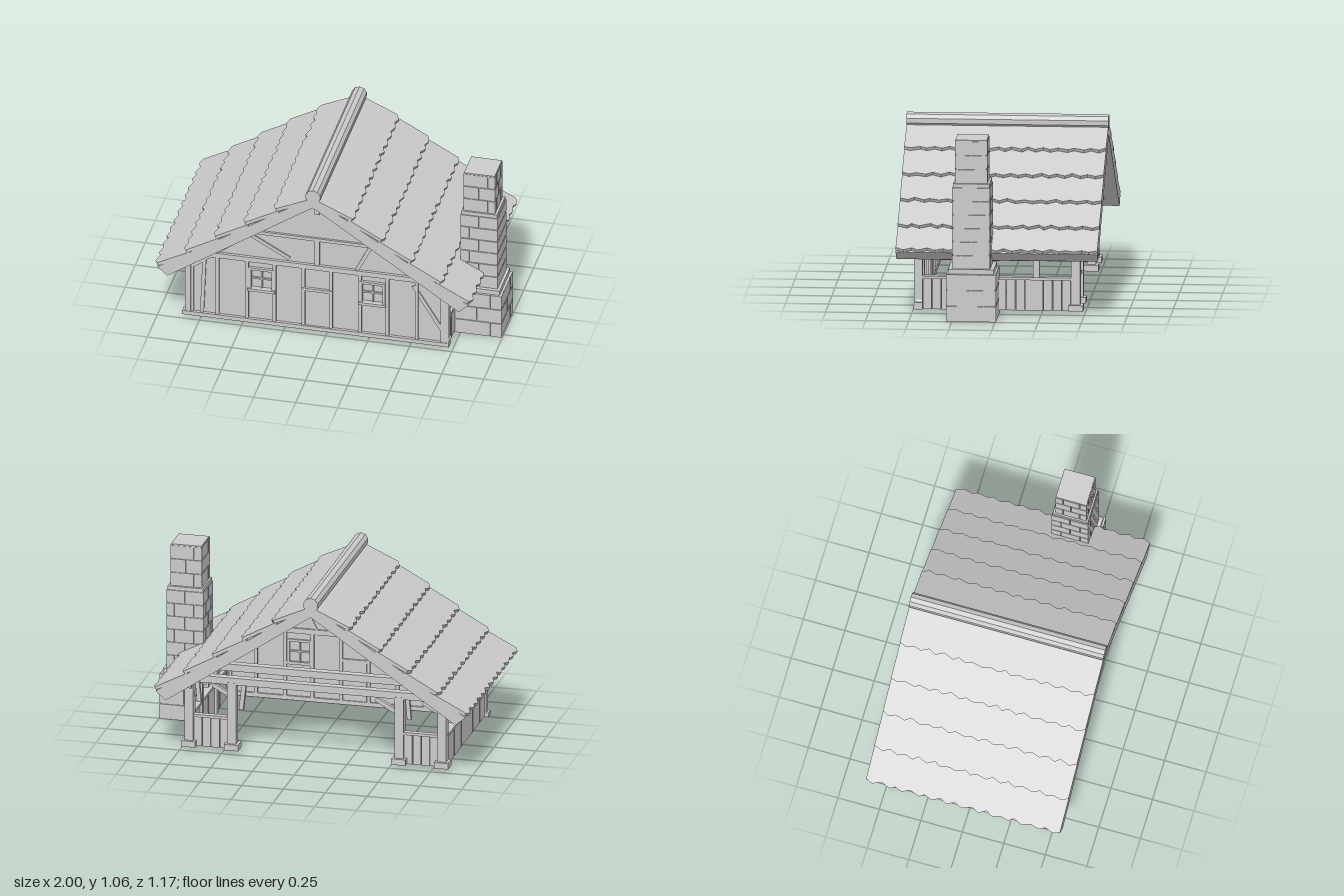
import * as THREE from 'three';

const CX = -0.055; // x of the ridge line
const HALF = 0.785; // half width of the house

export function createModel() {
  const root = new THREE.Group();
  root.name = 'cottage';
  const grey = new THREE.MeshStandardMaterial({ color: 0xcccccc });
  grey.name = 'pale grey';

  let seed = 7;
  const rnd = () => ((seed = (seed * 16807) % 2147483647) / 2147483647);

  const group = (name, parent = root) => {
    const g = new THREE.Group();
    g.name = name;
    parent.add(g);
    return g;
  };
  const add = (parent, name, geo) => {
    const m = new THREE.Mesh(geo, grey);
    m.name = name;
    parent.add(m);
    return m;
  };
  // Box given by its limits on each axis
  const box = (parent, name, x0, x1, y0, y1, z0, z1) => {
    const m = add(parent, name, new THREE.BoxGeometry(x1 - x0, y1 - y0, z1 - z0));
    m.position.set((x0 + x1) / 2, (y0 + y1) / 2, (z0 + z1) / 2);
    return m;
  };
  // Square timber between two points
  const timber = (parent, name, a, b, w, d = w) => {
    const A = new THREE.Vector3(...a), B = new THREE.Vector3(...b);
    const m = add(parent, name, new THREE.BoxGeometry(d, w, A.distanceTo(B)));
    m.position.copy(A).add(B).multiplyScalar(0.5);
    m.lookAt(B);
    return m;
  };
  const rect = (s, x0, x1, y0, y1) => {
    const p = new THREE.Path();
    p.moveTo(x0, y0).lineTo(x0, y1).lineTo(x1, y1).lineTo(x1, y0).closePath();
    s.holes.push(p);
  };

  // Roof deck: a thick chevron running front to back
  const roof = group('roof');
  roof.position.x = CX;
  const deck = new THREE.Shape([[0, 0.915], [0.865, 0.33], [0.925, 0.382], [0.91, 0.392], [0, 0.986],
    [-0.91, 0.392], [-0.925, 0.382], [-0.865, 0.33]].map(p => new THREE.Vector2(...p)));
  add(roof, 'roofDeck', new THREE.ExtrudeGeometry(deck, { depth: 1.17, bevelEnabled: false })).position.z = -0.585;

  // Shingle courses with ragged lower edges
  const tips = [[0.03, 0.985], [0.245, 0.868], [0.425, 0.748], [0.6, 0.63], [0.775, 0.51], [0.945, 0.4]];
  for (const side of [0, Math.PI]) {
    const slope = group(side ? 'leftSlope' : 'rightSlope', roof);
    slope.rotation.y = side;
    for (let i = 1; i < tips.length; i++) {
      const a = new THREE.Vector3(tips[i - 1][0] - 0.035, tips[i - 1][1] - 0.004, 0);
      const b = new THREE.Vector3(tips[i][0], tips[i][1], 0);
      const len = a.distanceTo(b);
      const s = new THREE.Shape();
      s.moveTo(-0.585, 0);
      s.lineTo(0.585, 0);
      const n = 26;
      for (let k = n; k >= 0; k--) {
        const jitter = k % n ? (rnd() - 0.5) * 0.02 : 0;
        s.lineTo(-0.585 + (1.17 * k) / n + jitter, len - (k % 2 ? 0 : 0.012 + rnd() * 0.012));
      }
      const geo = new THREE.ExtrudeGeometry(s, { depth: 0.02, bevelEnabled: false });
      geo.translate(0, 0, -0.02);
      const down = b.clone().sub(a).normalize();
      const along = new THREE.Vector3(0, 0, 1);
      const up = along.clone().cross(down);
      geo.applyMatrix4(new THREE.Matrix4().makeBasis(along, down, up).setPosition(a));
      add(slope, 'shingleCourse', geo);
    }
  }
  const ridge = new THREE.CylinderGeometry(0.045, 0.045, 1.172, 10).toNonIndexed();
  ridge.computeVertexNormals();
  const ridgeMesh = add(roof, 'ridgeCap', ridge);
  ridgeMesh.rotation.x = Math.PI / 2;
  ridgeMesh.position.y = 0.988;

  // Front wall panel with gable, door and window openings
  const front = group('frontWall');
  front.position.x = CX;
  const wall = new THREE.Shape([[-HALF, 0.02], [HALF, 0.02], [HALF, 0.39], [0, 0.92], [-HALF, 0.39]]
    .map(p => new THREE.Vector2(...p)));
  const wins = [-0.33, 0.33];
  for (const x of wins) rect(wall, x - 0.07, x + 0.07, 0.25, 0.385);
  add(front, 'wallPanel', new THREE.ExtrudeGeometry(wall, { depth: 0.02, bevelEnabled: false })).position.z = 0.452;

  // Front timber frame
  const Z0 = 0.44, Z1 = 0.485, ZM = (Z0 + Z1) / 2;
  box(front, 'sill', -HALF - 0.015, HALF, 0.02, 0.045, Z0, Z1 + 0.005);
  box(front, 'wallPlate', -0.72, 0.72, 0.432, 0.463, Z0, Z1 + 0.005);
  box(front, 'collarBeam', -0.42, 0.42, 0.625, 0.645, Z0, Z1);
  box(front, 'gablePost', -0.014, 0.014, 0.46, 0.63, Z0, Z1);
  box(front, 'kingPost', -0.014, 0.014, 0.81, 0.9, Z0, Z1 + 0.005);
  box(front, 'doorLintel', -0.09, 0.09, 0.282, 0.3, Z0, Z1 + 0.004);
  for (const s of [-1, 1]) {
    for (const x of [0.082, 0.254, 0.418, 0.592]) box(front, 'stud', s * x - 0.01, s * x + 0.01, 0.04, 0.44, Z0, Z1);
    box(front, 'cornerPost', s * 0.768 - 0.017, s * 0.768 + 0.017, 0.02, 0.41, Z0, Z1 + 0.002);
    timber(front, 'wallBrace', [s * 0.615, 0.42, ZM], [s * 0.74, 0.04, ZM], 0.022, 0.036);
    timber(front, 'gableBrace', [s * 0.375, 0.63, ZM], [s * 0.18, 0.46, ZM], 0.022, 0.036);
    timber(front, 'rafter', [0, 0.9, ZM], [s * 0.76, 0.387, ZM], 0.03, 0.045);
  }

  // Plank door
  const door = group('door', front);
  for (let i = 0; i < 4; i++) {
    const x = -0.07 + i * 0.0355;
    box(door, 'doorPlank', x, x + 0.033, 0.045, 0.282, 0.447, 0.477);
  }

  // Windows with frame, crossbars and pane
  for (const x of wins) {
    const w = group('window', front);
    w.position.set(x, 0.318, 0);
    box(w, 'pane', -0.07, 0.07, -0.068, 0.068, 0.459, 0.465);
    for (const s of [-1, 1]) {
      box(w, 'jamb', s * 0.068 - 0.008, s * 0.068 + 0.008, -0.07, 0.07, 0.442, 0.49);
    }
    box(w, 'head', -0.076, 0.076, 0.06, 0.075, 0.442, 0.49);
    box(w, 'windowSill', -0.082, 0.082, -0.08, -0.063, 0.442, 0.498);
    box(w, 'mullion', -0.005, 0.005, -0.065, 0.065, 0.45, 0.475);
    box(w, 'glazingBar', -0.065, 0.065, -0.005, 0.005, 0.45, 0.475);
  }

  // Open side walls: planked lower half, posts, rail, plate and braces
  for (const s of [-1, 1]) {
    const side = group(s > 0 ? 'leftWall' : 'rightWall');
    side.position.x = CX;
    const slab = (name, d0, d1, y0, y1, z0, z1) =>
      box(side, name, Math.min(s * d0, s * d1), Math.max(s * d0, s * d1), y0, y1, z0, z1);
    const count = 16, pitch = 0.86 / count;
    for (let i = 0; i < count; i++) {
      const z = -0.42 + i * pitch;
      slab('plank', 0.75, 0.775, 0.02, 0.203, z, z + pitch - 0.004);
    }
    slab('rail', 0.738, HALF, 0.2, 0.216, -0.43, 0.45);
    slab('sidePlate', 0.735, HALF - 0.005, 0.385, 0.425, -0.5, 0.48);
    for (const z of [0.12, -0.22]) {
      slab('sidePost', 0.735, 0.775, 0.02, 0.4, z - 0.02, z + 0.02);
      for (const k of [-1, 1])
        timber(side, 'kneeBrace', [s * 0.755, 0.315, z], [s * 0.755, 0.4, z + k * 0.085], 0.022);
    }
    slab('frontPost', 0.735, HALF, 0.02, 0.4, 0.44, 0.48);
    timber(side, 'kneeBrace', [s * 0.755, 0.315, -0.45], [s * 0.755, 0.4, -0.365], 0.022);

    // Back corner bay: two footed posts with a low planked panel
    for (const d of [0.755, 0.5]) {
      slab('backPost', d - 0.026, d + 0.026, 0.05, 0.43, -0.475, -0.423);
      slab('postFoot', d - 0.042, d + 0.042, 0.02, 0.056, -0.492, -0.408);
    }
    slab('bayRail', 0.52, 0.74, 0.2, 0.216, -0.467, -0.431);
    for (let i = 0; i < 4; i++) {
      const d = 0.526 + i * 0.052;
      slab('bayPlank', d, d + 0.048, 0.02, 0.203, -0.458, -0.44);
    }
    timber(side, 'bayBrace', [s * 0.5, 0.29, -0.449], [s * 0.375, 0.425, -0.449], 0.026);
    timber(side, 'bayBrace', [s * 0.5, 0.31, -0.449], [s * 0.6, 0.425, -0.449], 0.024);
    timber(side, 'bayBrace', [s * 0.755, 0.31, -0.449], [s * 0.655, 0.425, -0.449], 0.024);
  }

  // Tie beams across the open back
  for (const z of [-0.449, -0.22]) box(root, 'tieBeam', CX - 0.745, CX + 0.745, 0.418, 0.46, z - 0.024, z + 0.024);

  // Chimney: stacked tiers of brick rows around a core
  const chimney = group('chimney');
  const tier = (x0, x1, y0, y1, z0, z1, rows) => {
    box(chimney, 'mortarCore', x0 + 0.007, x1 - 0.007, y0, y1 - 0.003, z0 + 0.007, z1 - 0.007);
    const h = (y1 - y0) / rows, g = 0.003;
    for (let r = 0; r < rows; r++) {
      const cuts = r % 2 ? [0, 0.5, 1] : [0, 0.25, 0.78, 1];
      for (let i = 0; i + 1 < cuts.length; i++) for (let j = 0; j + 1 < cuts.length; j++) {
        if (cuts.length === 4 && i === 1 && j === 1 && r < rows - 1) continue;
        const X = t => x0 + (x1 - x0) * t, Z = t => z0 + (z1 - z0) * t;
        box(chimney, 'brick', X(cuts[i]) + (i ? g : 0), X(cuts[i + 1]) - (cuts[i + 1] < 1 ? g : 0),
          y0 + r * h + (r ? g : 0), y0 + (r + 1) * h - g,
          Z(cuts[j]) + (j ? g : 0), Z(cuts[j + 1]) - (cuts[j + 1] < 1 ? g : 0));
      }
    }
  };
  tier(0.705, 0.995, 0, 0.28, -0.005, 0.285, 3);
  box(chimney, 'lowerLedge', 0.72, 0.98, 0.278, 0.306, 0.008, 0.272);
  tier(0.743, 0.963, 0.306, 0.785, 0.03, 0.25, 6);
  box(chimney, 'upperLedge', 0.747, 0.959, 0.783, 0.806, 0.034, 0.246);
  tier(0.757, 0.945, 0.806, 1.055, 0.048, 0.236, 3);
  box(chimney, 'chimneyCap', 0.76, 0.942, 1.045, 1.06, 0.051, 0.233);

  return root;
}
